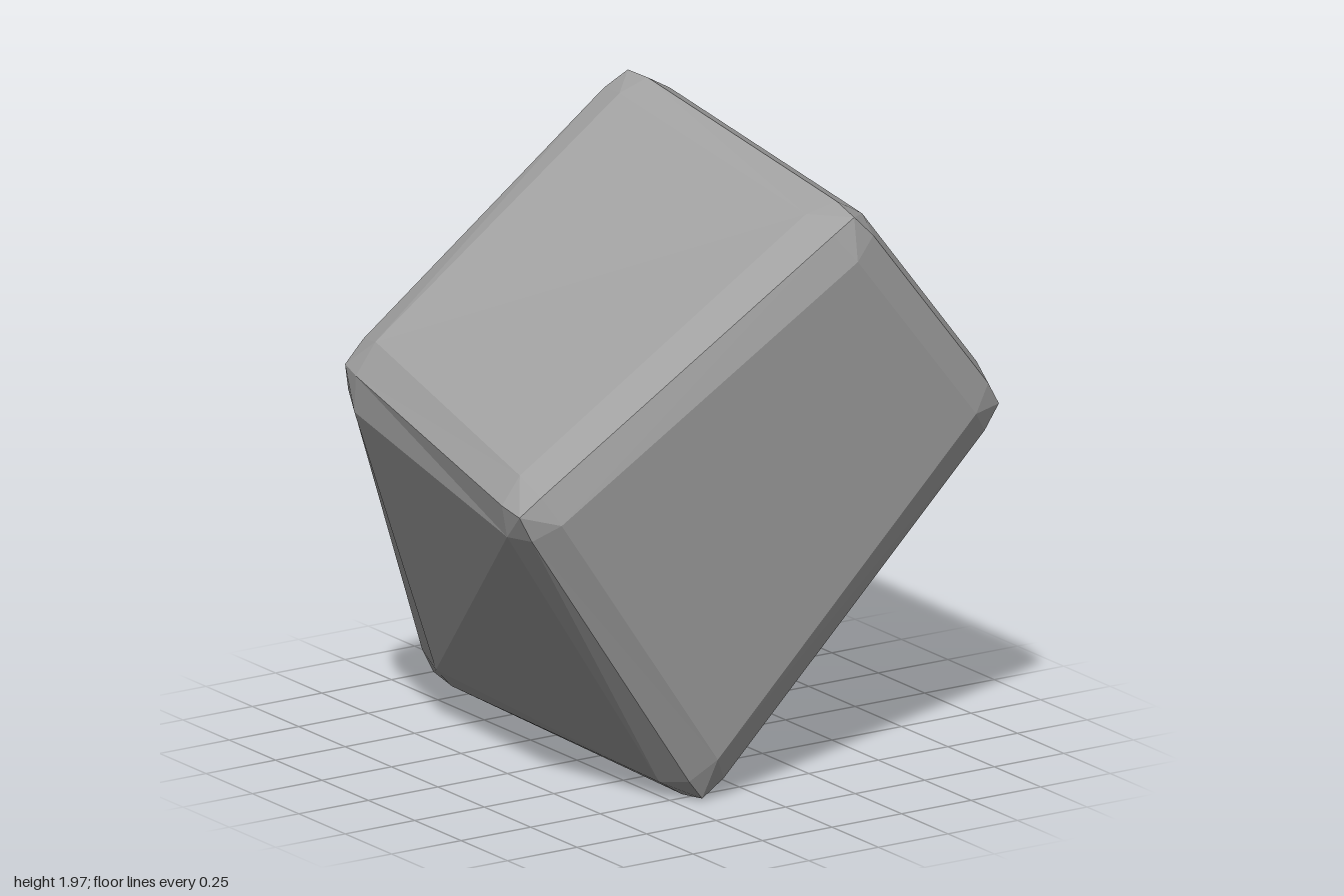
import * as THREE from 'three';

// Irregular six-sided block with rounded (two-segment) bevels.
// Corner index bits: 1 = along the lower right edge, 2 = along the lower left edge, 4 = towards the back.
const corners = [
  [-0.17, 0.025, 0.555], [0.88, 1.09, 0.58], [-0.88, 1.04, 0.635], [0.32, 1.78, 0.64],
  [-0.34, 0.15, -0.64], [0.83, 1.22, -0.63], [-0.76, 1.22, -0.485], [0.22, 1.99, -0.43],
].map((p) => new THREE.Vector3(...p));

// Each side: axis it is square to, then its corner loop, split from first to third corner.
const sides = [
  [2, [0, 1, 3, 2]], [2, [5, 7, 6, 4]], [0, [1, 3, 7, 5]],
  [0, [2, 0, 4, 6]], [1, [3, 2, 6, 7]], [1, [0, 1, 5, 4]],
];
const BEVEL = 0.14, EDGE = 0.04, TIP = 0.05;

// Point near corner c, moved inwards along its three edges by the given amounts
function inset(c, amounts) {
  const p = corners[c].clone();
  amounts.forEach((d, axis) => {
    const dir = corners[c ^ (1 << axis)].clone().sub(corners[c]).normalize();
    p.addScaledVector(dir, d - TIP);
  });
  return p;
}
const facePoint = (c, axis) => inset(c, [0, 1, 2].map((i) => (i === axis ? 0 : BEVEL)));
const edgePoint = (c, axis) => inset(c, [0, 1, 2].map((i) => (i === axis ? BEVEL : EDGE)));

export function createModel() {
  const positions = [];
  const middle = new THREE.Vector3(0, 1, 0);

  // Adds a triangle facing away from the middle
  function triangle(a, b, c) {
    const normal = b.clone().sub(a).cross(c.clone().sub(a));
    const outward = normal.dot(a.clone().sub(middle)) > 0;
    for (const p of outward ? [a, b, c] : [a, c, b]) positions.push(p.x, p.y, p.z);
  }
  function quad(a, b, c, d) {
    triangle(a, b, c);
    triangle(a, c, d);
  }

  // Large sides
  for (const [axis, loop] of sides) quad(...loop.map((c) => facePoint(c, axis)));

  for (let c = 0; c < 8; c++) {
    for (let axis = 0; axis < 3; axis++) {
      const b = (axis + 1) % 3, d = (axis + 2) % 3;
      // Rounded corner patch, one quad per adjoining side
      quad(facePoint(c, axis), edgePoint(c, b), corners[c], edgePoint(c, d));
      // Two bevel strips along each edge
      const end = c ^ (1 << axis);
      if (end < c) continue;
      for (const side of [b, d]) {
        quad(facePoint(c, side), facePoint(end, side), edgePoint(end, axis), edgePoint(c, axis));
      }
    }
  }

  const geometry = new THREE.BufferGeometry();
  geometry.setAttribute('position', new THREE.Float32BufferAttribute(positions, 3));
  geometry.computeVertexNormals();

  const stone = new THREE.MeshStandardMaterial({ color: 0xa0a0a0 });
  stone.name = 'stone grey';
  stone.flatShading = true;
  const block = new THREE.Mesh(geometry, stone);
  block.name = 'stoneBlock';

  const group = new THREE.Group();
  group.name = 'stone';
  group.add(block);
  return group;
}
